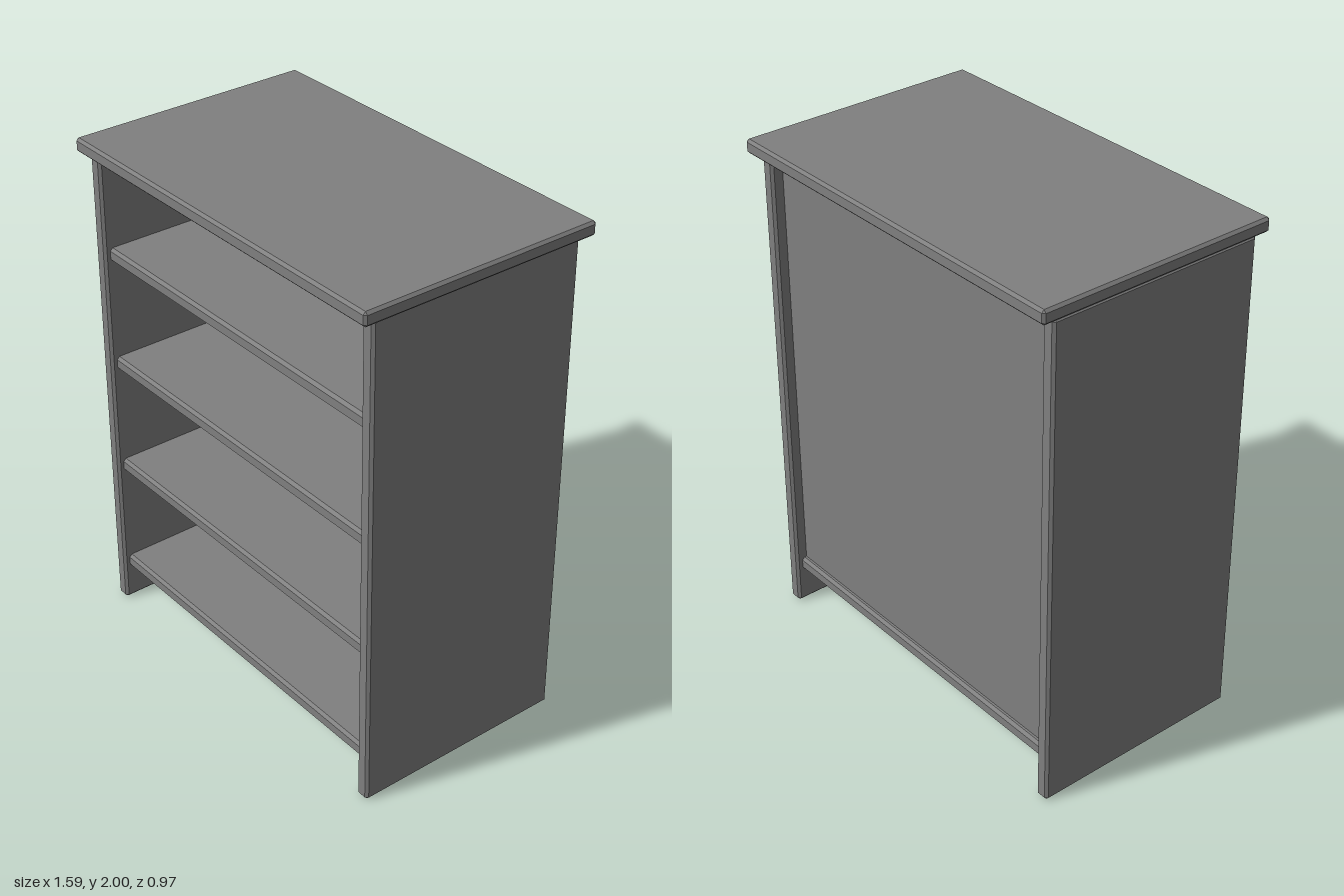
import * as THREE from 'three';
import { ConvexGeometry } from 'three/addons/geometries/ConvexGeometry.js';

// Box between two corners with flat chamfered edges
function chamferBox(min, max, c) {
  const half = max.map((v, i) => (v - min[i]) / 2);
  const mid = max.map((v, i) => (v + min[i]) / 2);
  const points = [];
  for (let axis = 0; axis < 3; axis++)
    for (const sx of [-1, 1]) for (const sy of [-1, 1]) for (const sz of [-1, 1]) {
      const p = [sx, sy, sz].map((s, i) => s * (half[i] - (i === axis ? 0 : c)));
      points.push(new THREE.Vector3(...p));
    }
  return new ConvexGeometry(points).translate(...mid);
}

export function createModel() {
  const group = new THREE.Group();
  group.name = 'bookcase';
  const grey = new THREE.MeshStandardMaterial({ color: 0x808080 });
  grey.name = 'grey';

  const addBoard = (name, min, max, chamfer = 0.01) => {
    const mesh = new THREE.Mesh(chamferBox(min, max, chamfer), grey);
    mesh.name = name;
    group.add(mesh);
  };

  // Overhanging top
  addBoard('top', [-0.795, 1.945, -0.487], [0.795, 2, 0.487]);

  // Side panels standing on the floor
  addBoard('rightPanel', [-0.785, 0, -0.436], [-0.73, 1.947, 0.436]);
  addBoard('leftPanel', [0.718, 0, -0.436], [0.773, 1.947, 0.436]);

  // Shelves, ends let into the side panels; the lowest runs under the back panel
  for (let i = 0; i < 4; i++) {
    const y = 0.145 + i * 0.455;
    const back = i === 0 ? -0.41 : -0.37;
    addBoard(`shelf${i + 1}`, [-0.745, y, back], [0.733, y + 0.055, 0.412], 0.011);
  }

  // Recessed back panel
  addBoard('backPanel', [-0.74, 0.18, -0.39], [0.728, 1.955, -0.355], 0.004);

  return group;
}
